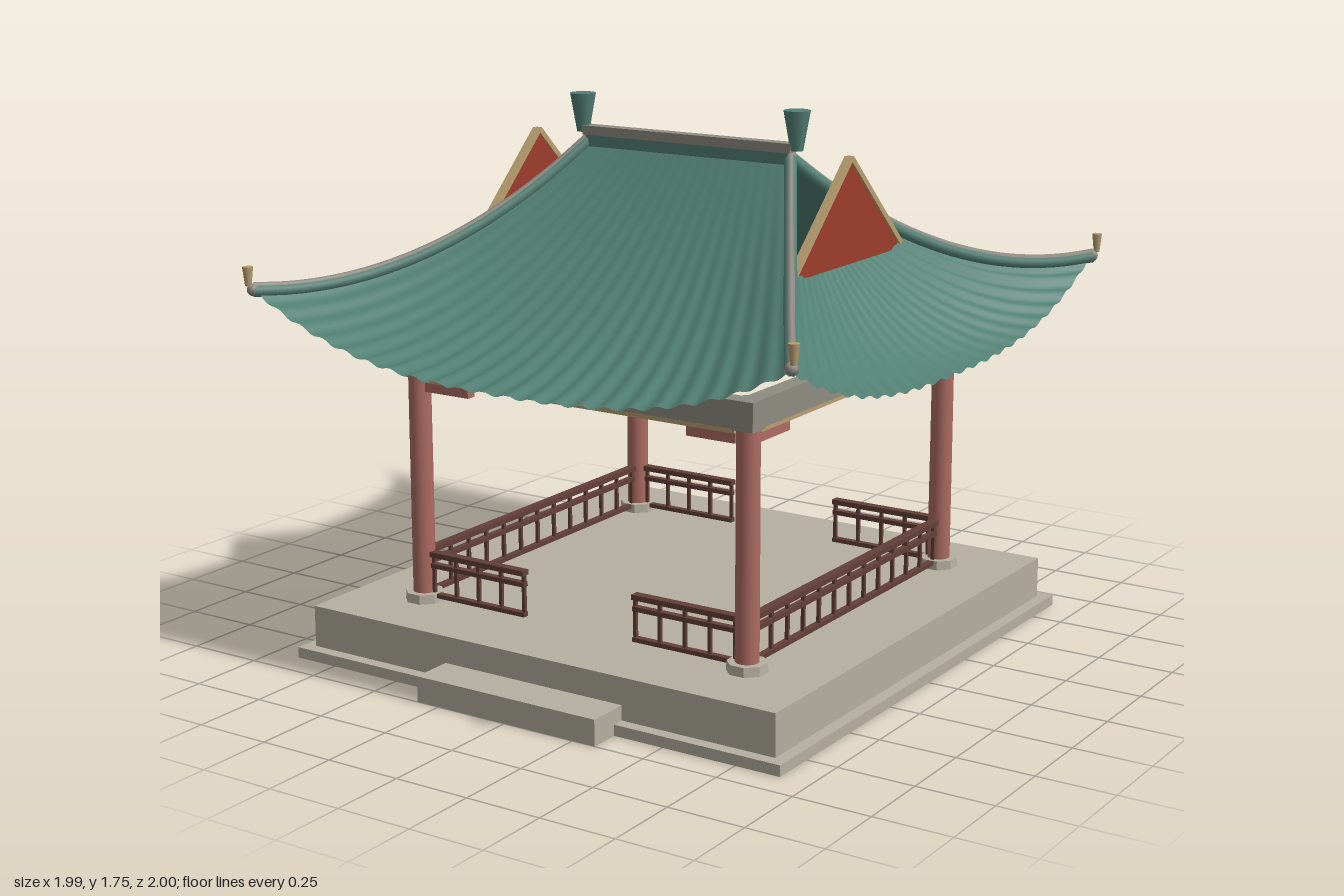
import * as THREE from 'three';

const mat = (name, color, side = THREE.FrontSide) => {
  const m = new THREE.MeshStandardMaterial({ color, side });
  m.name = name;
  return m;
};

export function createModel() {
  const stone = mat('stone', 0xb5af9f);
  const beamGrey = mat('beam grey', 0x8d8b81);
  const ridgeGrey = mat('ridge grey', 0x918c84);
  const pillarRed = mat('pillar red', 0xac6b62);
  const railBrown = mat('rail brown', 0x633f38);
  const tile = mat('roof tile', 0x528074, THREE.DoubleSide);
  const gableRed = mat('gable red', 0x9c3c2c);
  const tan = mat('tan trim', 0xb89f70);

  const model = new THREE.Group();
  model.name = 'pavilion';
  const add = (name, geo, material, x = 0, y = 0, z = 0, parent = model) => {
    const mesh = new THREE.Mesh(geo, material);
    mesh.name = name;
    mesh.position.set(x, y, z);
    parent.add(mesh);
    return mesh;
  };
  // box given by its centre in x and z and its bottom and top in y
  const box = (name, material, w, y0, y1, d, x = 0, z = 0, parent = model) =>
    add(name, new THREE.BoxGeometry(w, y1 - y0, d), material, x, (y0 + y1) / 2, z, parent);

  // platform and steps
  box('plinth', stone, 1.8, 0, 0.035, 1.8);
  box('platform', stone, 1.72, 0.035, 0.17, 1.72);
  for (const s of [1, -1]) box('step', stone, 0.66, 0, 0.083, 0.14, 0, s * 0.93);

  // columns with octagonal feet and head blocks
  const P = 0.61;
  const footGeo = new THREE.CylinderGeometry(0.062, 0.064, 0.03, 8).toNonIndexed();
  footGeo.rotateY(Math.PI / 8);
  footGeo.computeVertexNormals();
  for (const sx of [1, -1]) for (const sz of [1, -1]) {
    add('columnFoot', footGeo, stone, sx * P, 0.185, sz * P);
    add('column', new THREE.CylinderGeometry(0.036, 0.037, 0.73, 24), pillarRed, sx * P, 0.56, sz * P);
    box('columnHead', beamGrey, 0.074, 0.91, 1.0, 0.074, sx * P, sz * P);
  }

  // one railing run along x, from x0 to x1
  const railing = (x0, x1, z, parent) => {
    const g = new THREE.Group();
    g.name = 'railing';
    parent.add(g);
    const mid = (x0 + x1) / 2, len = x1 - x0;
    box('topRail', railBrown, len, 0.32, 0.337, 0.03, mid, z, g);
    box('middleRail', railBrown, len, 0.283, 0.298, 0.022, mid, z, g);
    box('bottomRail', railBrown, len, 0.185, 0.199, 0.022, mid, z, g);
    const n = Math.round(len / 0.095);
    for (let i = 0; i <= n; i++)
      box('baluster', railBrown, 0.011, 0.185, 0.325, 0.011, x0 + 0.006 + (len - 0.012) * i / n, z, g);
  };

  // four sides: beam, soffit strip, brackets and railings
  for (let i = 0; i < 4; i++) {
    const side = new THREE.Group();
    side.name = 'sideFrame';
    side.rotation.y = i * Math.PI / 2;
    model.add(side);
    box('beam', beamGrey, 1.15, 0.912, 0.998, 0.06, 0, P, side);
    box('beamSoffit', tan, 1.15, 0.896, 0.912, 0.045, 0, P, side);
    for (const s of [1, -1]) box('bracket', pillarRed, 0.17, 0.865, 0.896, 0.035, s * 0.49, P, side);
    if (i % 2) railing(-0.575, 0.575, P, side);
    else {
      railing(0.205, 0.575, P, side);
      railing(-0.575, -0.205, P, side);
    }
  }

  // roof surface: t runs from ridge to eave, u across from hip to hip
  const hipY = t => 1.6 - 0.9 * t + 0.5 * t * t;
  const hipX = t => 0.38 + 0.58 * t;
  const E = 0.96;
  const roofY = (t, u) => hipY(t) - 0.2 * t * (1 - Math.abs(u) ** 2.7)
    + 0.005 * t * (Math.cos(u * Math.PI * 22) - 1);
  const panel = (t0, place) => {
    const geo = new THREE.PlaneGeometry(2, 1, 176, 16);
    const p = geo.attributes.position;
    for (let i = 0; i < p.count; i++) {
      const u = p.getX(i), t = t0 + (1 - t0) * (0.5 - p.getY(i));
      const [x, z] = place(t, u);
      p.setXYZ(i, x, roofY(t, u), z);
    }
    geo.computeVertexNormals();
    return geo;
  };
  const mainSlope = panel(0, (t, u) => [u * hipX(t), E * t]);
  const endSlope = panel(0.33, (t, u) => [hipX(t), -u * E * t]);

  // gable triangle with sloping trim
  const tri = new THREE.Shape([
    new THREE.Vector2(-0.33, 1.295), new THREE.Vector2(0.33, 1.295), new THREE.Vector2(0, 1.61)]);
  const gableGeo = new THREE.ExtrudeGeometry(tri, { depth: 0.012, bevelEnabled: false });
  gableGeo.rotateY(Math.PI / 2);

  for (const r of [0, Math.PI]) {
    const half = new THREE.Group();
    half.name = 'roofHalf';
    half.rotation.y = r;
    model.add(half);
    add('mainSlope', mainSlope, tile, 0, 0, 0, half);
    add('endSlope', endSlope, tile, 0, 0, 0, half);
    add('gable', gableGeo, gableRed, 0.58, 0, 0, half);
    for (const s of [1, -1]) {
      const trim = add('gableTrim', new THREE.BoxGeometry(0.024, 0.018, 0.46), tan, 0.587, 1.463, s * 0.168, half);
      trim.rotation.x = s * Math.atan2(0.315, 0.33);
    }
    // ridge end ornament
    add('ridgeFinial', new THREE.CylinderGeometry(0.042, 0.02, 0.125, 12), tile, 0.402, 1.692, 0, half);
  }

  // main ridge
  box('ridgeBase', tile, 0.76, 1.585, 1.622, 0.036);
  box('ridgeCap', ridgeGrey, 0.78, 1.622, 1.652, 0.044);

  // hip ridges and corner finials
  for (const sx of [1, -1]) for (const sz of [1, -1]) {
    const hip = lift => new THREE.CatmullRomCurve3(Array.from({ length: 11 }, (_, i) => {
      const t = i / 10 * 1.01;
      return new THREE.Vector3(sx * hipX(t), hipY(t) + lift, sz * E * t);
    }));
    add('hipRidge', new THREE.TubeGeometry(hip(0.004), 24, 0.021, 8), tile);
    add('hipCap', new THREE.TubeGeometry(hip(0.017), 24, 0.013, 6), ridgeGrey);
    for (const [t, name] of [[0, 'hipTop'], [1.01, 'hipEnd']])
      add(name, new THREE.SphereGeometry(0.02, 10, 8), ridgeGrey, sx * hipX(t), hipY(t) + 0.006, sz * E * t);
    add('cornerFinial', new THREE.CylinderGeometry(0.017, 0.01, 0.06, 8), tan, sx * 0.978, 1.25, sz * 0.978);
  }
  return model;
}
